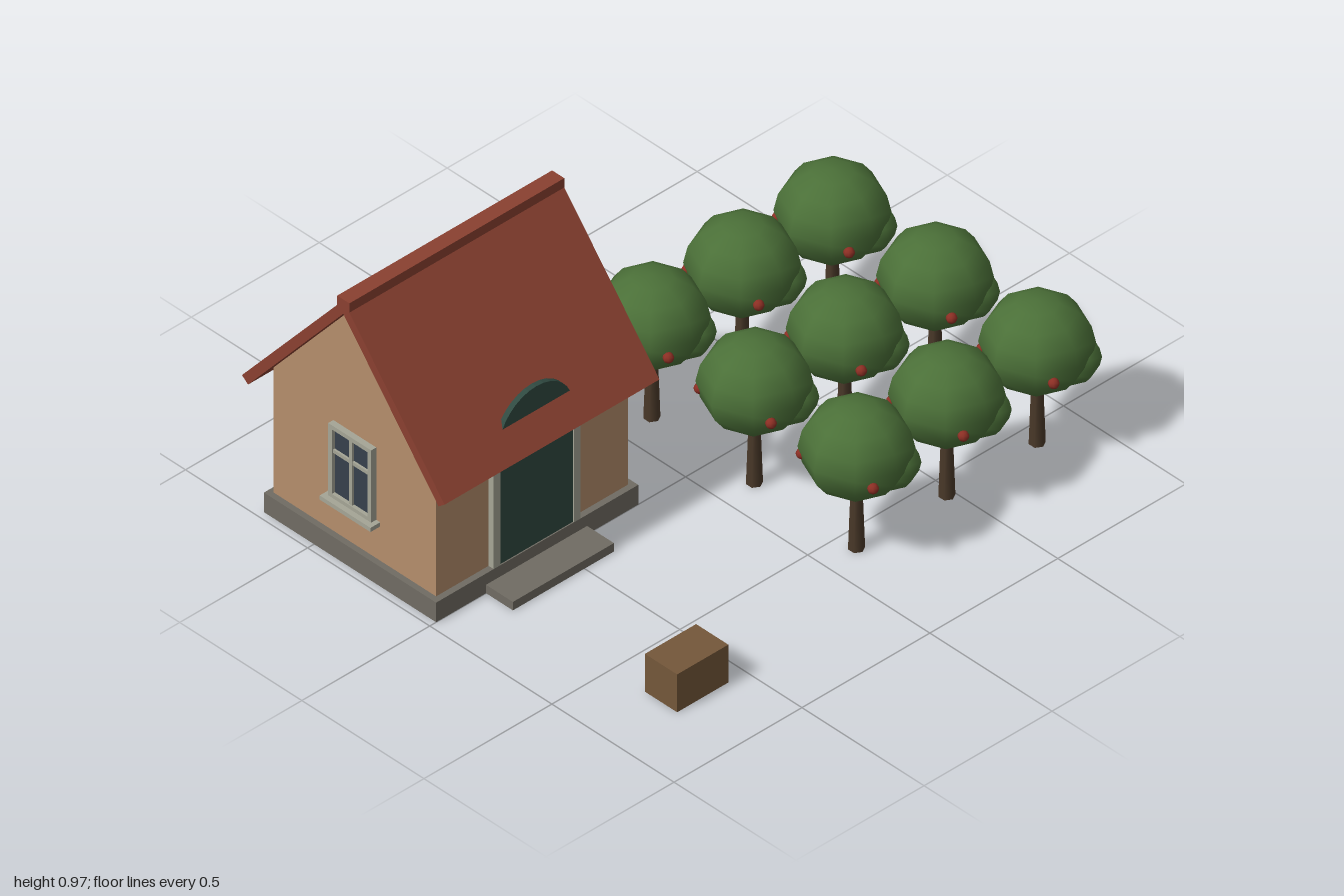
import * as THREE from 'three';

const mat = (name, color, extra = {}) => {
  const m = new THREE.MeshStandardMaterial({ color, ...extra });
  m.name = name;
  return m;
};

export function createModel() {
  const M = {
    wall: mat('plaster', 0xb58e6c),
    roof: mat('roofTile', 0x8a4030),
    stone: mat('stone', 0x706c63),
    frame: mat('paleFrame', 0xa5a596),
    glass: mat('glass', 0x36404c),
    door: mat('doorGreen', 0x304a41),
    leaf: mat('leaves', 0x4b7038),
    trunk: mat('bark', 0x4a3929),
    crate: mat('crateWood', 0x74573a),
    apple: mat('appleRed', 0x8c2f24),
  };
  const model = new THREE.Group();
  model.name = 'cottageAndOrchard';

  const add = (parent, name, geo, material, x = 0, y = 0, z = 0) => {
    const mesh = new THREE.Mesh(geo, material);
    mesh.name = name;
    mesh.position.set(x, y, z);
    parent.add(mesh);
    return mesh;
  };
  // Box given by its min and max along each axis
  const box = (parent, name, material, x0, x1, y0, y1, z0, z1) =>
    add(parent, name, new THREE.BoxGeometry(x1 - x0, y1 - y0, z1 - z0), material,
      (x0 + x1) / 2, (y0 + y1) / 2, (z0 + z1) / 2);
  // Gable profile of [depth, height] points, extruded along x and centred
  const gable = (points, width) => {
    const shape = new THREE.Shape(points.map(([d, y]) => new THREE.Vector2(d, y)));
    return new THREE.ExtrudeGeometry(shape, { depth: width, bevelEnabled: false })
      .translate(0, 0, -width / 2).rotateY(Math.PI / 2);
  };

  // House
  const CX = -0.58, CZ = -0.354;
  const house = new THREE.Group();
  house.name = 'house';
  model.add(house);
  box(house, 'foundation', M.stone, -0.975, -0.185, 0, 0.07, -0.705, 0);
  box(house, 'doorstep', M.stone, -0.78, -0.385, 0, 0.03, 0, 0.11);
  add(house, 'walls', gable([[-0.333, 0.07], [0.333, 0.07], [0.333, 0.517], [0, 0.918], [-0.333, 0.517]], 0.75),
    M.wall, CX, 0, CZ);
  add(house, 'roof', gable([[-0.415, 0.467], [-0.39, 0.447], [0, 0.917], [0.39, 0.447], [0.415, 0.467], [0, 0.965]], 0.84),
    M.roof, CX, 0, CZ);
  box(house, 'ridge', M.roof, -1, -0.16, 0.92, 0.968, CZ - 0.025, CZ + 0.025);

  // Arched door, its top rising through the roof slope
  const arch = new THREE.Shape();
  arch.moveTo(-0.145, 0.07);
  arch.lineTo(0.145, 0.07);
  arch.lineTo(0.145, 0.485);
  arch.absarc(0, 0.485, 0.145, 0, Math.PI, false);
  arch.closePath();
  add(house, 'door', new THREE.ExtrudeGeometry(arch, { depth: 0.018, bevelEnabled: false, curveSegments: 8 }),
    M.door, CX, 0, -0.022);
  for (const s of [-1, 1]) {
    const x = CX + s * 0.157;
    box(house, 'doorJamb', M.frame, x - 0.013, x + 0.013, 0.07, 0.485, -0.022, 0);
  }

  // Windows on both gables and the back wall
  const opening = new THREE.Shape([[-0.088, 0.205], [0.088, 0.205], [0.088, 0.465], [-0.088, 0.465]]
    .map(p => new THREE.Vector2(...p)));
  opening.holes.push(new THREE.Path([[-0.073, 0.22], [-0.073, 0.45], [0.073, 0.45], [0.073, 0.22]]
    .map(p => new THREE.Vector2(...p))));
  const frameGeo = new THREE.ExtrudeGeometry(opening, { depth: 0.02, bevelEnabled: false });
  const addWindow = (x, z, angle) => {
    const w = new THREE.Group();
    w.name = 'window';
    w.position.set(x, 0, z);
    w.rotation.y = angle;
    house.add(w);
    add(w, 'windowFrame', frameGeo, M.frame);
    box(w, 'windowPane', M.glass, -0.074, 0.074, 0.219, 0.451, 0, 0.008);
    box(w, 'mullion', M.frame, -0.006, 0.006, 0.22, 0.45, 0.004, 0.016);
    box(w, 'transom', M.frame, -0.073, 0.073, 0.364, 0.376, 0.004, 0.015);
    box(w, 'windowSill', M.frame, -0.104, 0.104, 0.192, 0.207, 0, 0.038);
  };
  addWindow(CX + 0.375, CZ, Math.PI / 2);
  addWindow(CX - 0.375, CZ, -Math.PI / 2);
  addWindow(CX, CZ - 0.333, Math.PI);

  // Crate in the yard
  box(model, 'crate', M.crate, -0.77, -0.57, 0, 0.135, 0.64, 0.772);

  // Orchard of nine trees
  const trunkGeo = new THREE.CylinderGeometry(0.016, 0.025, 0.26, 6);
  const crownGeo = new THREE.SphereGeometry(1, 8, 8);
  const appleGeo = new THREE.SphereGeometry(0.017, 8, 6);
  for (const x of [0.122, 0.475, 0.828]) {
    for (const z of [0.572, 0.154, -0.266]) {
      const tree = new THREE.Group();
      tree.name = 'tree';
      tree.position.set(x, 0, z);
      model.add(tree);
      add(tree, 'trunk', trunkGeo, M.trunk, 0, 0.13, 0);
      add(tree, 'crown', crownGeo, M.leaf, 0, 0.361, 0).scale.set(0.167, 0.149, 0.167);
      add(tree, 'lowerFoliage', crownGeo, M.leaf, 0.083, 0.292, 0.05).scale.set(0.089, 0.079, 0.089);
      add(tree, 'apple', appleGeo, M.apple, -0.069, 0.327, 0.14);
      add(tree, 'apple', appleGeo, M.apple, -0.11, 0.335, -0.11);
    }
  }
  return model;
}
